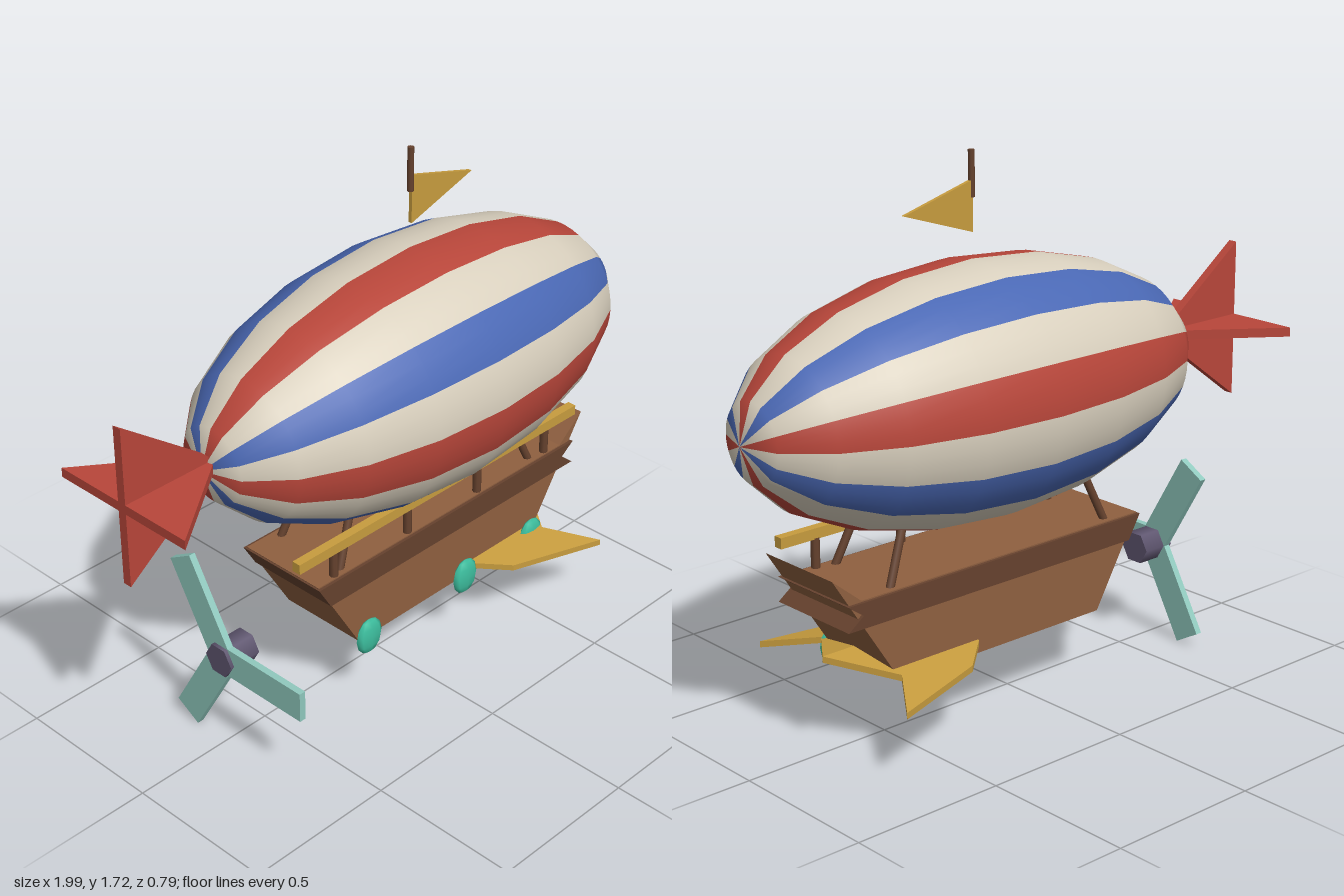
import * as THREE from 'three';
import { mergeGeometries } from 'three/addons/utils/BufferGeometryUtils.js';

const mat = (name, color, extra = {}) => {
  const m = new THREE.MeshStandardMaterial({ color, ...extra });
  m.name = name;
  return m;
};

export function createModel() {
  const group = new THREE.Group();
  const red = mat('red', 0xb8463a);
  const cream = mat('cream', 0xd9d0be);
  const blue = mat('blue', 0x4a68b4);
  const gold = mat('gold', 0xc79c3e);
  const wood = mat('wood', 0x8f6040);
  const darkWood = mat('darkWood', 0x66422e);
  const teal = mat('teal', 0x3dbf9f);
  const paleTeal = mat('paleTeal', 0x90c9be);
  const slate = mat('slate', 0x5f5670);

  const add = (name, geometry, material, x = 0, y = 0, z = 0) => {
    const mesh = new THREE.Mesh(geometry, material);
    mesh.name = name;
    mesh.position.set(x, y, z);
    group.add(mesh);
    return mesh;
  };

  // Side profile extruded along z, centred on z = 0
  const slab = (points, width) => {
    const shape = new THREE.Shape(points.map(([x, y]) => new THREE.Vector2(x, y)));
    const g = new THREE.ExtrudeGeometry(shape, { depth: width, bevelEnabled: false });
    return g.translate(0, 0, -width / 2);
  };

  // Round bar between two points
  const bar = (name, a, b, r, material) => {
    const from = new THREE.Vector3(...a), to = new THREE.Vector3(...b);
    const dir = to.clone().sub(from);
    const mesh = add(name, new THREE.CylinderGeometry(r, r, dir.length(), 8), material);
    mesh.position.copy(from).add(to).multiplyScalar(0.5);
    mesh.quaternion.setFromUnitVectors(new THREE.Vector3(0, 1, 0), dir.normalize());
  };

  // Envelope: sixteen gores, striped red, cream, blue, cream
  const stripes = [[], [], []];
  for (let i = 0; i < 16; i++) {
    const gore = new THREE.SphereGeometry(1, 1, 10, (i * Math.PI) / 8, Math.PI / 8);
    gore.rotateZ(-Math.PI / 2).scale(0.85, 0.393, 0.393);
    stripes[[0, 1, 2, 1][i % 4]].push(gore);
  }
  [['redGores', red], ['creamGores', cream], ['blueGores', blue]].forEach(([name, m], i) =>
    add(name, mergeGeometries(stripes[i]), m, 0.14, 1.007, 0));

  // Crossed tail fins
  const fin = [[-1, -0.258], [-0.65, 0], [-1, 0.258]];
  add('verticalTailFin', slab(fin, 0.03), red, 0, 1.022, 0);
  add('horizontalTailFin', slab(fin, 0.03).rotateX(Math.PI / 2), red, 0, 1.022, 0);

  // Flag and pole
  add('flagPole', new THREE.CylinderGeometry(0.01, 0.01, 0.14, 8), darkWood, 0.14, 1.653, 0);
  add('flag', slab([[0.14, 1.48], [0.4, 1.563], [0.14, 1.635]], 0.012), gold);

  // Gondola hull with raised prow, and the rubbing band around it
  add('hull', slab([[-0.24, 0.235], [0.56, 0.235], [0.803, 0.607], [0.7, 0.523], [-0.41, 0.523]], 0.31), wood);
  add('hullBand', slab([[-0.368, 0.44], [0.755, 0.44], [0.7, 0.48], [0.755, 0.519], [-0.415, 0.519]], 0.33), darkWood);

  // Hand rail on posts, left open on the far side
  add('rail', new THREE.BoxGeometry(1.255, 0.034, 0.03), gold, 0.138, 0.632, 0.145);
  for (const x of [-0.33, -0.01, 0.31, 0.635])
    add('railPost', new THREE.CylinderGeometry(0.014, 0.014, 0.1, 8), darkWood, x, 0.568, 0.14);

  // Struts from deck to envelope
  for (const sx of [-1, 1])
    for (const sz of [-1, 1])
      bar('strut', [0.14 + sx * 0.44, 0.5, sz * 0.13], [0.14 + sx * 0.34, 0.74, sz * 0.095], 0.013, darkWood);

  // Faceted portholes on the hull side
  for (const x of [-0.21, 0.23, 0.55]) {
    const g = new THREE.SphereGeometry(1, 8, 6).scale(0.055, 0.063, 0.017);
    add('porthole', g, teal, x, 0.249, 0.17);
  }

  // Swept wings drooping from the keel
  const plan = [[0.22, 0], [0.26, 0.16], [0.37, 0.255], [0.697, 0.347], [0.585, 0.19], [0.725, 0]];
  for (const s of [-1, 1]) {
    const g = slab(plan.map(([x, z]) => [x, s * z]), 0.02).rotateX(Math.PI / 2);
    const p = g.attributes.position;
    for (let i = 0; i < p.count; i++) p.setY(i, p.getY(i) + 0.3 - 0.2 * Math.abs(p.getZ(i)));
    g.computeVertexNormals();
    add(s > 0 ? 'frontWing' : 'backWing', g, gold);
  }

  // Propeller: hub and three blades
  const hub = new THREE.CylinderGeometry(0.055, 0.055, 0.115, 6).rotateZ(Math.PI / 2);
  add('propellerHub', hub, slate, -0.622, 0.32, 0);
  for (let i = 0; i < 3; i++) {
    const blade = new THREE.BoxGeometry(0.022, 0.1, 0.335).translate(0, 0, 0.1675);
    blade.rotateX((i * Math.PI * 2) / 3);
    add('propellerBlade', blade, paleTeal, -0.656, 0.32, 0);
  }
  return group;
}
